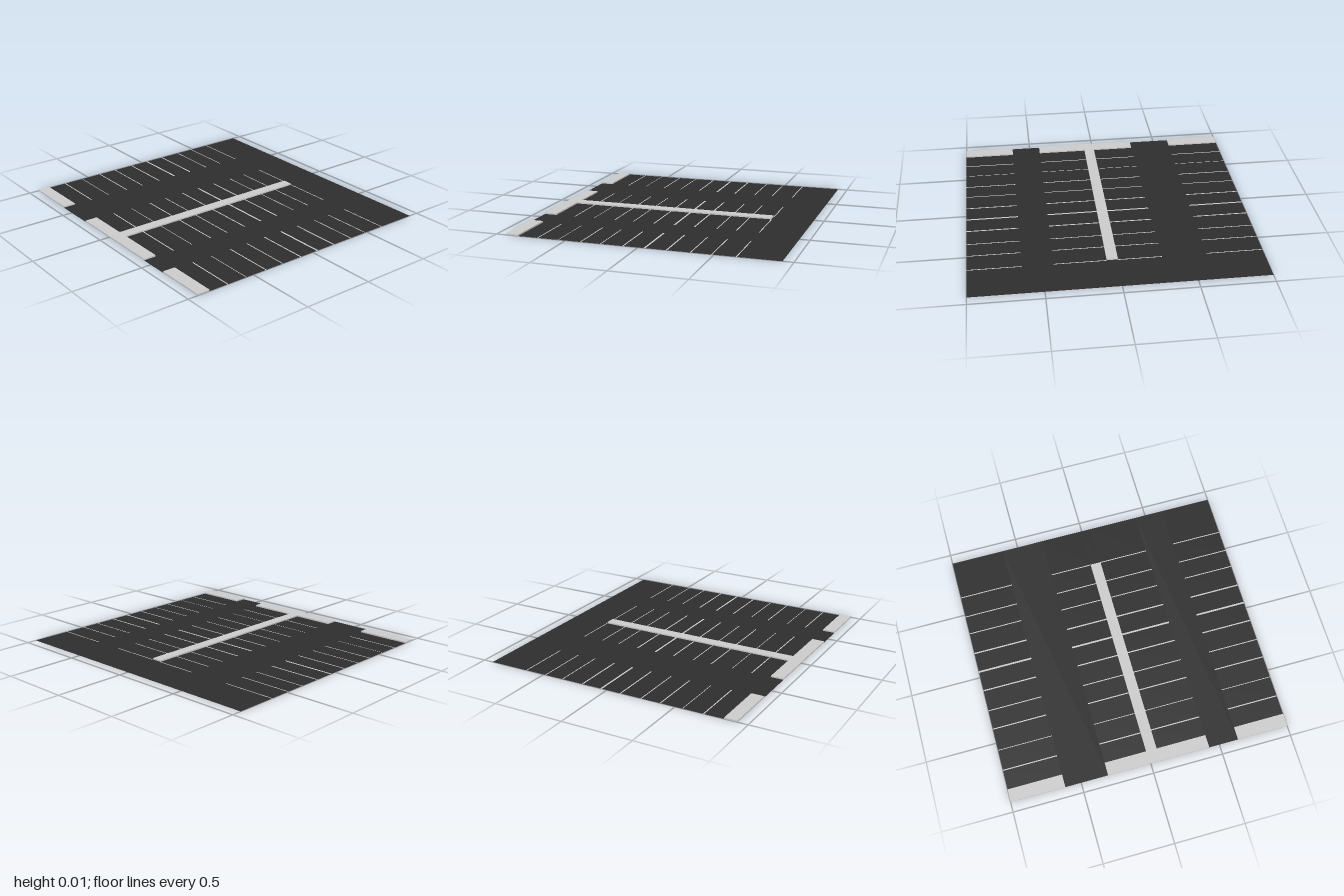
import * as THREE from 'three';

const X0 = -0.93, X1 = 0.93, CURB_X = -0.84, MEDIAN_END = 0.64;
const MEDIAN_Z = [-0.008, 0.068];
const CURB_H = 0.01;

// Stall divider lines: [centre x, width]
const LINES = [
  [-0.7, 0.008], [-0.553, 0.005], [-0.395, 0.008], [-0.256, 0.007], [-0.102, 0.009],
  [0.044, 0.013], [0.19, 0.01], [0.348, 0.007], [0.485, 0.007], [0.642, 0.007],
];
// Parking rows and driving aisles: [z from, z to]
const ROWS = [[-1, -0.613], [-0.308, MEDIAN_Z[0]], [MEDIAN_Z[1], 0.424], [0.636, 1]];
const AISLES = [[-0.613, -0.308], [0.424, 0.636]];

export function createModel() {
  const model = new THREE.Group();
  const asphalt = new THREE.MeshStandardMaterial({ color: 0x2f2e2f, side: THREE.DoubleSide });
  const paint = new THREE.MeshStandardMaterial({ color: 0xffffff, side: THREE.DoubleSide });
  const concrete = new THREE.MeshStandardMaterial({ color: 0xcccccc });

  // Flat ground panel spanning x and z ranges at y = 0
  function panel(name, xa, xb, [za, zb], material) {
    const geo = new THREE.PlaneGeometry(xb - xa, zb - za).rotateX(-Math.PI / 2);
    const mesh = new THREE.Mesh(geo, material);
    mesh.name = name;
    mesh.position.set((xa + xb) / 2, 0, (za + zb) / 2);
    model.add(mesh);
  }

  // Raised slab from an outline of [x, z] corners
  function slab(name, outline) {
    const shape = new THREE.Shape(outline.map(([x, z]) => new THREE.Vector2(x, -z)));
    const geo = new THREE.ExtrudeGeometry(shape, { depth: CURB_H, bevelEnabled: false });
    const mesh = new THREE.Mesh(geo.rotateX(-Math.PI / 2), concrete);
    mesh.name = name;
    model.add(mesh);
  }

  // Parking rows: asphalt stalls with painted lines set between them
  for (const row of ROWS) {
    let x = CURB_X;
    for (const [cx, w] of LINES) {
      panel('stall', x, cx - w / 2, row, asphalt);
      panel('stallLine', cx - w / 2, cx + w / 2, row, paint);
      x = cx + w / 2;
    }
    panel('driveLane', x, X1, row, asphalt);
  }

  // Driving aisles and the patch beyond the median
  for (const aisle of AISLES) panel('aisle', X0, X1, aisle, asphalt);
  panel('medianEndLane', MEDIAN_END, X1, MEDIAN_Z, asphalt);

  // Sidewalks at the two corners
  for (const [za, zb] of [ROWS[0], ROWS[3]]) {
    slab('sidewalk', [[X0, za], [X0, zb], [CURB_X, zb], [CURB_X, za]]);
  }

  // Central sidewalk joined to the long median
  const [ma, mb] = MEDIAN_Z, za = ROWS[1][0], zb = ROWS[2][1];
  slab('sidewalkWithMedian', [
    [X0, za], [X0, zb], [CURB_X, zb], [CURB_X, mb],
    [MEDIAN_END, mb], [MEDIAN_END, ma], [CURB_X, ma], [CURB_X, za],
  ]);

  return model;
}
